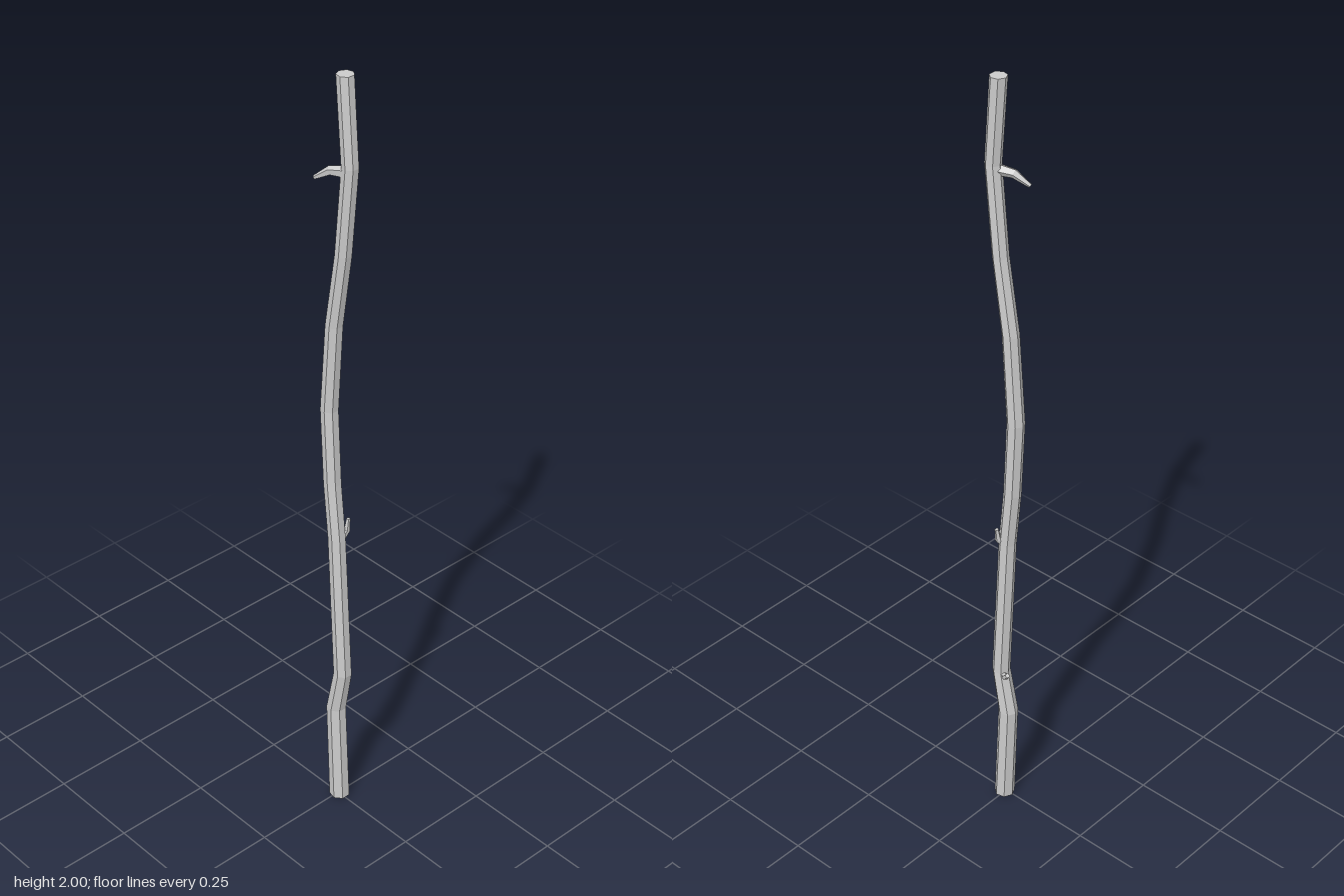
import * as THREE from 'three';

const material = new THREE.MeshStandardMaterial({ color: 0xcccccc, flatShading: true });
const UP = new THREE.Vector3(0, 1, 0);

// Capped faceted limb through rings of [x, y, z, radius]; level keeps every ring horizontal
function limb(name, rings, sides, level) {
  const segments = rings.length - 1;
  const geometry = new THREE.CylinderGeometry(1, 1, 1, sides, segments, false, Math.PI);
  const points = rings.map(([x, y, z]) => new THREE.Vector3(x, y, z));
  const turns = points.map((p, i) => {
    const along = points[Math.min(i + 1, segments)].clone().sub(points[Math.max(i - 1, 0)]);
    return new THREE.Quaternion().setFromUnitVectors(UP, level ? UP : along.normalize());
  });
  const position = geometry.attributes.position;
  const v = new THREE.Vector3();
  for (let i = 0; i < position.count; i++) {
    v.fromBufferAttribute(position, i);
    const k = Math.round((v.y + 0.5) * segments);
    v.setY(0).multiplyScalar(rings[k][3]).applyQuaternion(turns[k]).add(points[k]);
    position.setXYZ(i, v.x, v.y, v.z);
  }
  geometry.computeVertexNormals();
  const mesh = new THREE.Mesh(geometry, material);
  mesh.name = name;
  return mesh;
}

export function createModel() {
  const group = new THREE.Group();
  group.name = 'stick';

  // Crooked main shaft, swaying front to back
  group.add(limb('shaft', [
    [0.003, 0, 0.003, 0.026],
    [0.003, 0.28, -0.009, 0.025],
    [0.003, 0.4, 0.014, 0.023],
    [0.003, 0.8, -0.007, 0.022],
    [0.003, 0.95, -0.022, 0.022],
    [0.003, 1.15, -0.032, 0.022],
    [0.003, 1.38, -0.016, 0.021],
    [0.003, 1.57, 0.014, 0.02],
    [0.003, 1.79, 0.035, 0.02],
    [0.003, 2, 0.019, 0.0205],
  ], 7, true));

  // Small broken-off twigs
  group.add(limb('lowerTwig', [
    [0.006, 0.392, 0.008, 0.009],
    [0.018, 0.397, -0.014, 0.008],
    [0.022, 0.409, -0.024, 0.006],
  ], 5, false));
  group.add(limb('middleTwig', [
    [0.01, 0.8, 0, 0.011],
    [0.025, 0.815, 0.003, 0.008],
    [0.029, 0.847, 0.004, 0.005],
  ], 5, false));
  group.add(limb('upperTwig', [
    [-0.002, 1.777, 0.025, 0.014],
    [-0.016, 1.773, -0.008, 0.011],
    [-0.031, 1.749, -0.042, 0.005],
  ], 5, false));

  return group;
}
